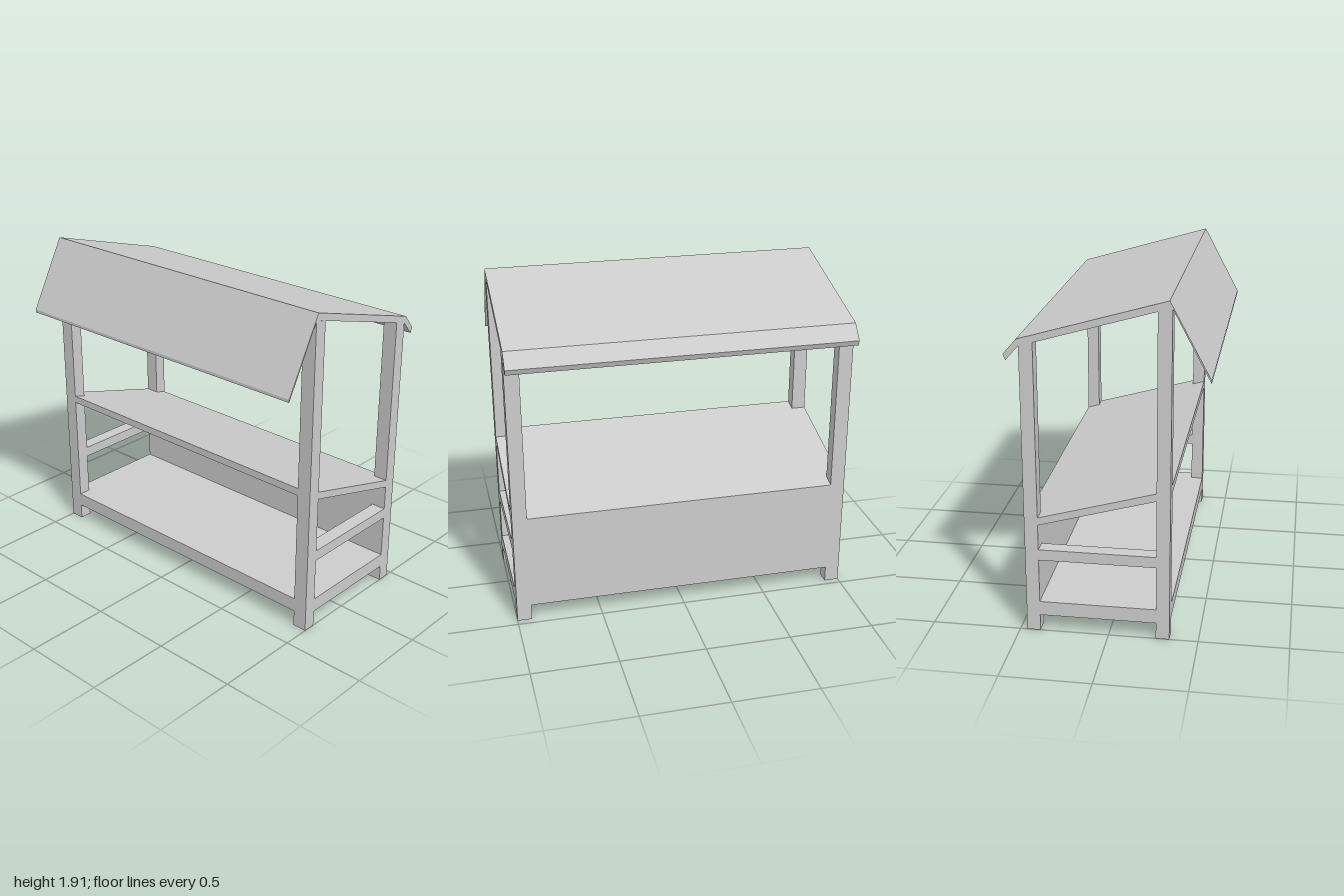
import * as THREE from 'three';

const material = new THREE.MeshStandardMaterial({ color: 0xcccccc, flatShading: true, side: THREE.DoubleSide });

// Frame extents: outer and inner faces of the corner posts
const BACK = -0.34, BACK_IN = -0.265, FRONT_IN = 0.385, FRONT = 0.46;
const END = 1, END_IN = 0.915;

function polygon(points) {
  return new THREE.Shape(points.map(([x, y]) => new THREE.Vector2(x, y)));
}

function add(group, name, geometry) {
  const mesh = new THREE.Mesh(geometry, material);
  mesh.name = name;
  group.add(mesh);
}

// Box given by its limits
function block(group, name, x0, x1, y0, y1, z0, z1) {
  const geometry = new THREE.BoxGeometry(x1 - x0, y1 - y0, z1 - z0);
  geometry.translate((x0 + x1) / 2, (y0 + y1) / 2, (z0 + z1) / 2);
  add(group, name, geometry);
}

// Side profile (x, y) swept along z
function sweep(group, name, points, z0, z1) {
  const geometry = new THREE.ExtrudeGeometry(polygon(points), { depth: z1 - z0, bevelEnabled: false });
  geometry.translate(0, 0, z0);
  add(group, name, geometry);
}

// Board with corners notched around the posts, optionally sloping along x
function deck(group, name, top, thickness, slope) {
  const outline = polygon([
    [BACK, -END_IN], [BACK_IN, -END_IN], [BACK_IN, -END], [FRONT_IN, -END],
    [FRONT_IN, -END_IN], [FRONT, -END_IN], [FRONT, END_IN], [FRONT_IN, END_IN],
    [FRONT_IN, END], [BACK_IN, END], [BACK_IN, END_IN], [BACK, END_IN],
  ]);
  const geometry = new THREE.ExtrudeGeometry(outline, { depth: thickness, bevelEnabled: false });
  geometry.rotateX(-Math.PI / 2);
  const p = geometry.attributes.position;
  for (let i = 0; i < p.count; i++) {
    p.setY(i, p.getY(i) + top - thickness + slope * (p.getX(i) - BACK));
  }
  geometry.computeVertexNormals();
  add(group, name, geometry);
}

export function createModel() {
  const group = new THREE.Group();
  group.name = 'marketStall';

  // Corner posts with sloped tops, and a rail across each end
  for (const [z0, z1] of [[-END, -END_IN], [END_IN, END]]) {
    sweep(group, 'backPost', [[BACK, 0], [BACK_IN, 0], [BACK_IN, 1.856], [BACK, 1.878]], z0, z1);
    sweep(group, 'frontPost', [[FRONT_IN, 0], [FRONT, 0], [FRONT, 1.648], [FRONT_IN, 1.67]], z0, z1);
    block(group, 'endRail', BACK_IN, FRONT_IN, 0.432, 0.495, z0, z1);
  }

  // Lower shelf and sloping counter
  deck(group, 'lowerShelf', 0.178, 0.083, 0);
  deck(group, 'counter', 0.888, 0.044, -0.28);

  // Closed panel below the counter on the serving side
  sweep(group, 'servingPanel',
    [[FRONT_IN, 0.178], [FRONT, 0.178], [FRONT, 0.62], [FRONT_IN, 0.641]], -END_IN, END_IN);

  // Sloping roof with a short drooping lip
  sweep(group, 'roof', [
    [BACK, 1.878], [FRONT, 1.648], [0.53, 1.57], [0.543, 1.602], [0.472, 1.685], [-0.325, 1.915],
  ], -END, END);

  // Thin flap hanging off the high edge
  sweep(group, 'backFlap', [
    [-0.325, 1.915], [-0.543, 1.507], [-0.543, 1.49], [-0.334, 1.884],
  ], -END, END);

  return group;
}
